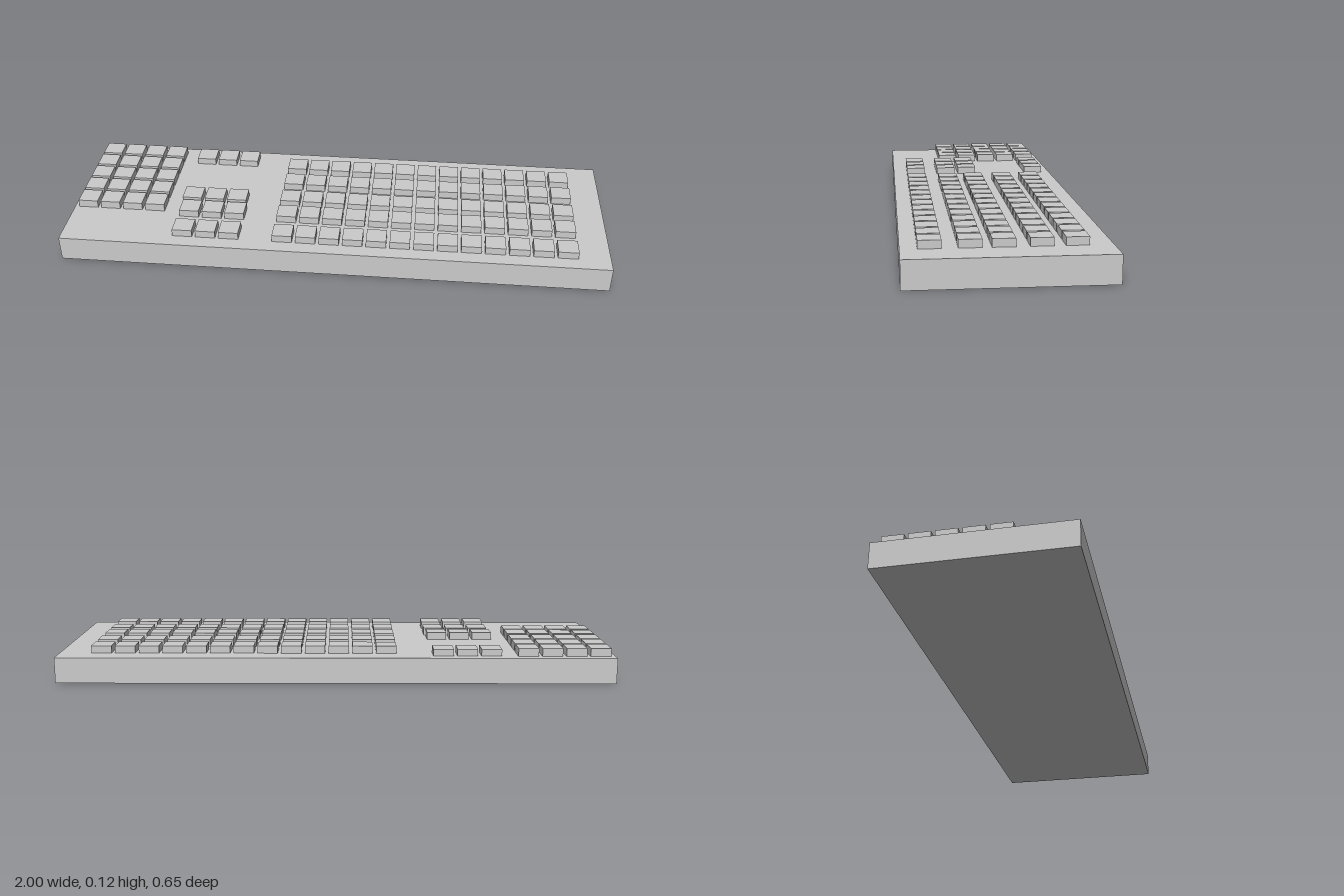
import * as THREE from 'three';

const BODY_TOP = 0.093;
const KEY = 0.073;    // key width and depth
const PITCH = 0.0859; // spacing between neighbouring keys

export function createModel() {
  const model = new THREE.Group();
  model.name = 'keyboard';
  const material = new THREE.MeshStandardMaterial({ color: 0xcccccc });

  // Flat slab case
  const body = new THREE.Mesh(new THREE.BoxGeometry(2, BODY_TOP, 0.652), material);
  body.name = 'case';
  body.position.y = BODY_TOP / 2;
  model.add(body);

  // A block of keys: each row is [x of first key, z, height above the case]
  function addKeys(name, columns, rows) {
    const block = new THREE.Group();
    block.name = name;
    for (const [x, z, height] of rows) {
      const geometry = new THREE.BoxGeometry(KEY, height, KEY);
      for (let i = 0; i < columns; i++) {
        const key = new THREE.Mesh(geometry, material);
        key.name = 'key';
        key.position.set(x + i * PITCH, BODY_TOP + height / 2, z);
        block.add(key);
      }
    }
    model.add(block);
  }

  // Main typing rows
  addKeys('mainKeys', 13,
    [-0.214, -0.105, 0.011, 0.113, 0.236].map((z) => [-0.183, z, 0.027]));

  // Number pad
  addKeys('numberPad', 4,
    [0, 1, 2, 3, 4].map((row) => [-0.947, -0.2595 + row * PITCH, 0.029]));

  // Small clusters between the pad and the main rows
  addKeys('functionKeys', 3, [[-0.558, -0.257, 0.025]]);
  addKeys('navigationKeys', 3, [[-0.558, 0.023, 0.027], [-0.552, 0.111, 0.027]]);
  addKeys('arrowKeys', 3, [[-0.552, 0.235, 0.027]]);

  return model;
}
